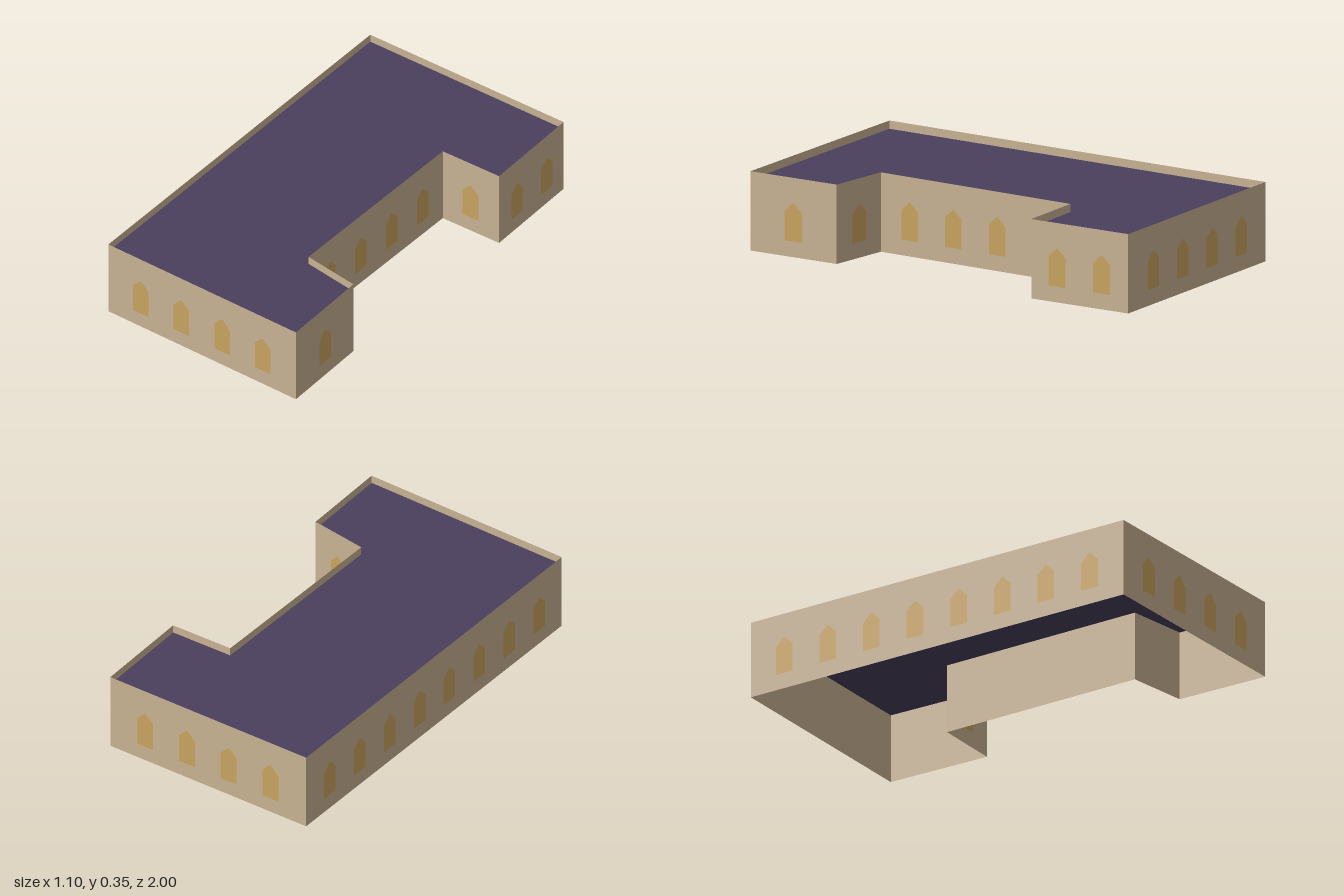
import * as THREE from 'three';

const WALL_HEIGHT = 0.355;
const ROOF_HEIGHT = 0.318;
const WINDOW_SPACING = 0.225;

// Footprint corners [x, z], walked so each wall faces outward
const FOOTPRINT = [
  [-0.552, 0.923], [0.486, 0.998], [0.486, 0.563], [0.211, 0.506],
  [0.241, -0.468], [0.546, -0.455], [0.546, -0.944], [-0.509, -1.0],
];

export function createModel() {
  const stone = new THREE.MeshStandardMaterial({ color: 0xc9b394, side: THREE.DoubleSide });
  stone.name = 'sandstone';
  const slate = new THREE.MeshStandardMaterial({ color: 0x4a3f5e, side: THREE.DoubleSide });
  slate.name = 'purple slate';
  const amber = new THREE.MeshStandardMaterial({ color: 0xc9a45f });
  amber.name = 'amber glass';

  const building = new THREE.Group();
  building.name = 'building';

  // Pointed window pane
  const pane = new THREE.ShapeGeometry(new THREE.Shape([
    [-0.043, 0.071], [0.043, 0.071], [0.043, 0.203], [0, 0.244], [-0.043, 0.203],
  ].map(([x, y]) => new THREE.Vector2(x, y))));

  // Walls, each with an evenly spaced, centred row of windows
  FOOTPRINT.forEach(([x0, z0], i) => {
    const [x1, z1] = FOOTPRINT[(i + 1) % FOOTPRINT.length];
    const length = Math.hypot(x1 - x0, z1 - z0);
    const side = new THREE.Group();
    side.name = `wallSide${i + 1}`;
    side.position.set((x0 + x1) / 2, 0, (z0 + z1) / 2);
    side.rotation.y = Math.atan2(z0 - z1, x1 - x0);

    const wall = new THREE.Mesh(new THREE.PlaneGeometry(length, WALL_HEIGHT), stone);
    wall.name = 'wall';
    wall.position.y = WALL_HEIGHT / 2;
    side.add(wall);

    const count = Math.floor(length / WINDOW_SPACING);
    for (let k = 0; k < count; k++) {
      const glass = new THREE.Mesh(pane, amber);
      glass.name = 'window';
      glass.position.set((k - (count - 1) / 2) * WINDOW_SPACING, 0, 0.003);
      side.add(glass);
    }
    building.add(side);
  });

  // Flat roof set below the parapet
  const outline = new THREE.Shape(FOOTPRINT.map(([x, z]) => new THREE.Vector2(x, -z)));
  const roof = new THREE.Mesh(new THREE.ShapeGeometry(outline), slate);
  roof.name = 'roof';
  roof.rotation.x = -Math.PI / 2;
  roof.position.y = ROOF_HEIGHT;
  building.add(roof);

  return building;
}
